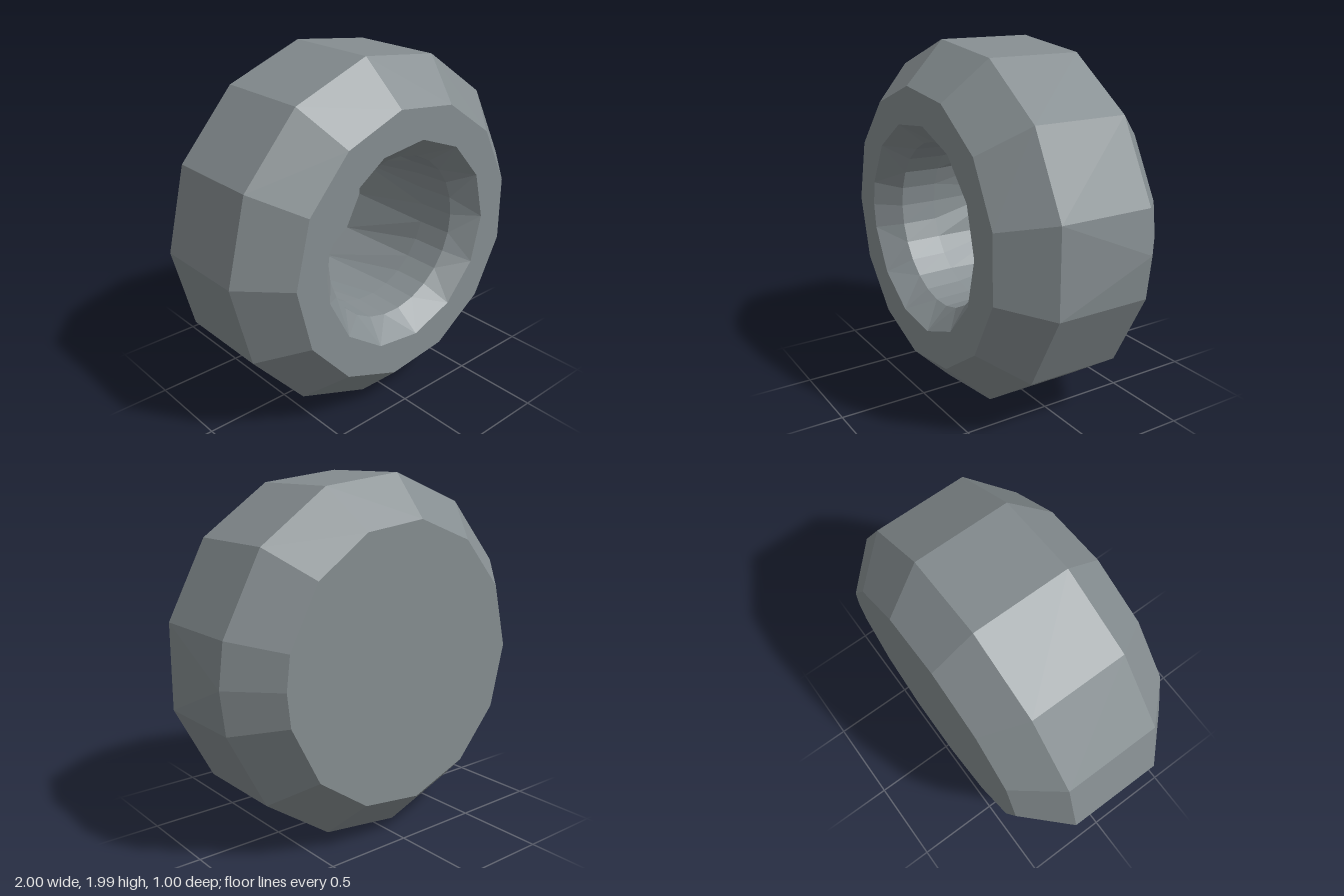
import * as THREE from 'three';

const SIDES = 13;
const TURN = Math.PI * 2;

// A ring of points round the z axis; extra adds one more point at that angle.
function ring(r, z, phase, { extra, sides = SIDES } = {}) {
  const angles = [];
  for (let k = 0; k < sides; k++) angles.push((phase + (k * TURN) / sides) % TURN);
  if (extra !== undefined) angles.push(extra);
  angles.sort((a, b) => a - b);
  const n = angles.length;
  const angle = (i) => angles[i % n] + (i >= n ? TURN : 0);
  const point = (i) => [r * Math.cos(angle(i)), r * Math.sin(angle(i)), z];
  return { r, n, angle, point };
}

// Joins consecutive rings with triangles, stepping along whichever ring is behind.
function loft(rings) {
  const pos = [];
  for (let s = 0; s + 1 < rings.length; s++) {
    const p = rings[s], q = rings[s + 1];
    let i = 0, j = 0;
    while (i < p.n || j < q.n) {
      const stepP = j >= q.n || (i < p.n && p.angle(i + 1) <= q.angle(j + 1));
      if (stepP) {
        if (p.r > 0) pos.push(...p.point(i), ...p.point(i + 1), ...q.point(j));
        i++;
      } else {
        if (q.r > 0) pos.push(...p.point(i), ...q.point(j + 1), ...q.point(j));
        j++;
      }
    }
  }
  const geo = new THREE.BufferGeometry();
  geo.setAttribute('position', new THREE.Float32BufferAttribute(pos, 3));
  geo.computeVertexNormals();
  return geo;
}

export function createModel() {
  const group = new THREE.Group();
  group.name = 'wheel';
  const material = new THREE.MeshStandardMaterial({ color: 0x858d90, flatShading: true });
  const add = (name, rings) => {
    const mesh = new THREE.Mesh(loft(rings), material);
    mesh.name = name;
    mesh.position.y = 0.993;
    group.add(mesh);
  };
  const PI = Math.PI;

  // closed back, bevels, tread and front face
  const opening = ring(0.58, 0.5, 0, { extra: PI });
  add('tyre', [
    ring(0, -0.5, PI),
    ring(0.77, -0.5, PI, { extra: 0 }),
    ring(1, -0.27, PI, { extra: 0 }),
    ring(1, 0.27, PI),
    ring(0.77, 0.5, PI),
    opening,
  ]);

  // tapered mouth, round throat and deep flat-bottomed socket
  add('hubSocket', [
    opening,
    ring(0.462, 0.37, 0, { sides: 2 * SIDES }),
    ring(0.456, 0.16, 0, { sides: 2 * SIDES }),
    ring(0.49, -0.42, PI),
    ring(0, -0.42, PI),
  ]);
  return group;
}
